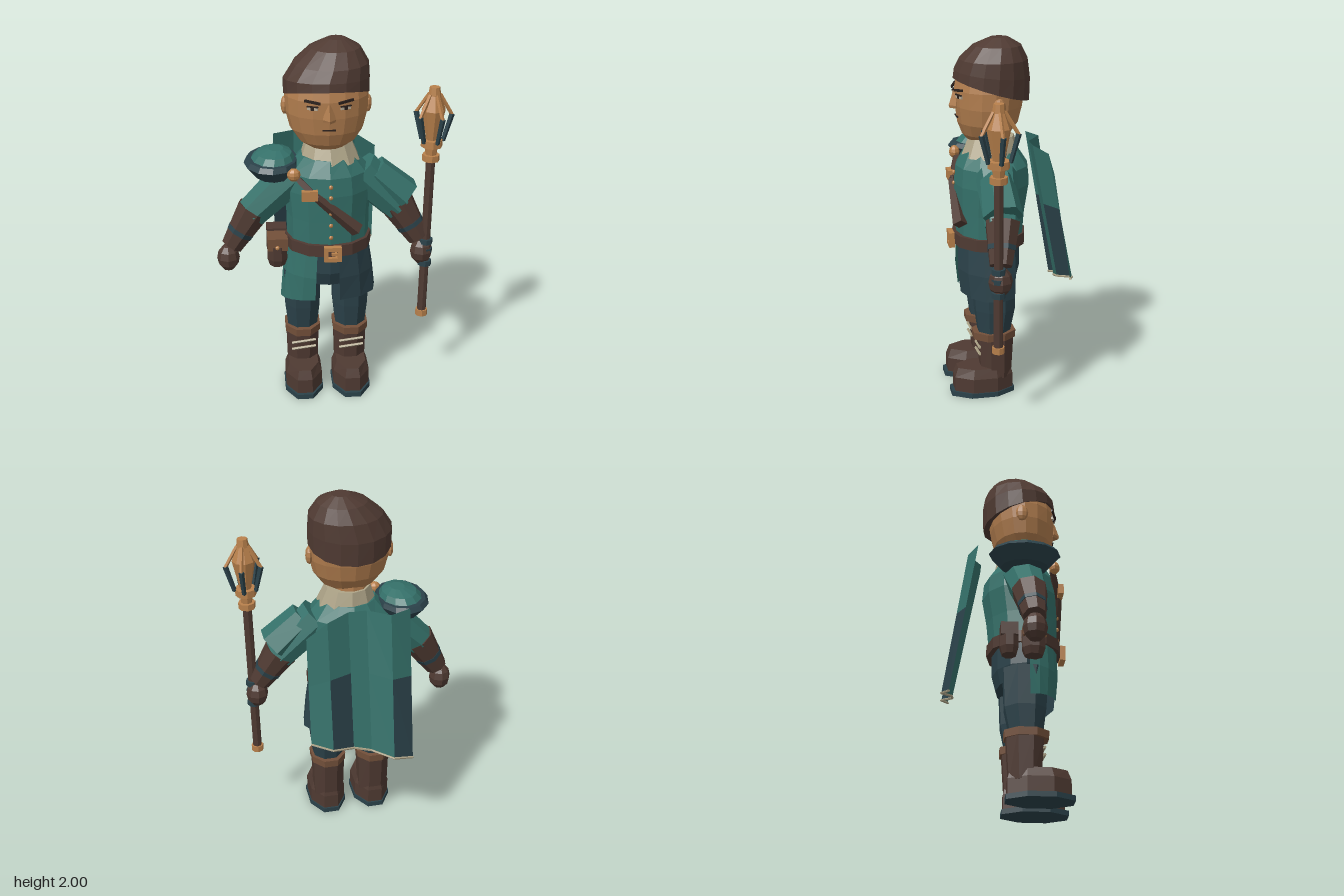
import * as THREE from 'three';

const mat = (name, color, side = THREE.FrontSide) => {
  const m = new THREE.MeshStandardMaterial({ color, flatShading: true, side });
  m.name = name;
  return m;
};
const V = (p) => new THREE.Vector3(...p);

export function createModel() {
  const root = new THREE.Group();
  root.name = 'figure';
  const teal = mat('tealCloth', 0x35716a, THREE.DoubleSide);
  const navy = mat('slateCloth', 0x2b424a, THREE.DoubleSide);
  const brown = mat('darkLeather', 0x4f3a32);
  const tan = mat('trimLeather', 0x73503a);
  const skin = mat('skin', 0xb17d4e);
  const copper = mat('copper', 0xb9814c);
  const beige = mat('linen', 0xaea488);
  const dark = mat('darkBrow', 0x2a201c);
  const white = mat('eyeWhite', 0xb9ab95);

  const add = (name, geo, m, pos = [0, 0, 0], parent = root) => {
    const mesh = new THREE.Mesh(geo, m);
    mesh.name = name;
    mesh.position.set(...pos);
    parent.add(mesh);
    return mesh;
  };
  const box = (name, size, m, pos, parent) => add(name, new THREE.BoxGeometry(...size), m, pos, parent);

  // Capped stack of elliptical rings, bottom to top: [x, y, z, rx, rz, tilt]
  const loft = (name, rings, n, m, rot = 0, parent = root) => {
    const pos = [], idx = [];
    for (const [x, y, z, rx, rz, tilt = 0] of rings) {
      for (let j = 0; j < n; j++) {
        const t = (j / n) * Math.PI * 2 + rot;
        pos.push(x + rx * Math.sin(t), y + tilt * Math.cos(t), z + rz * Math.cos(t));
      }
    }
    for (let i = 0; i < rings.length - 1; i++) {
      for (let j = 0; j < n; j++) {
        const a = i * n + j, b = i * n + (j + 1) % n;
        idx.push(a, b, b + n, a, b + n, a + n);
      }
    }
    const last = (rings.length - 1) * n;
    for (let j = 1; j < n - 1; j++) idx.push(0, j + 1, j, last, last + j, last + j + 1);
    const g = new THREE.BufferGeometry();
    g.setAttribute('position', new THREE.Float32BufferAttribute(pos, 3));
    g.setIndex(idx);
    g.computeVertexNormals();
    return add(name, g, m, [0, 0, 0], parent);
  };

  // Open sheet from rows of points; pick(row, column) chooses a material index
  const sheet = (name, rows, mats, pick = () => 0) => {
    const g = new THREE.BufferGeometry(), idx = [], w = rows[0].length;
    g.setAttribute('position', new THREE.Float32BufferAttribute(rows.flat(2), 3));
    for (let i = 0; i < rows.length - 1; i++) {
      for (let j = 0; j < w - 1; j++) {
        const a = i * w + j;
        g.addGroup(idx.length, 6, pick(i, j));
        idx.push(a, a + w, a + 1, a + 1, a + w, a + w + 1);
      }
    }
    g.setIndex(idx);
    g.computeVertexNormals();
    return add(name, g, mats);
  };

  // Tapered prism between two points
  const rod = (name, a, b, ra, rb, n, m, parent = root) => {
    const p = V(a), q = V(b), d = q.clone().sub(p);
    const mesh = add(name, new THREE.CylinderGeometry(rb, ra, d.length(), n), m, p.clone().add(q).multiplyScalar(0.5).toArray(), parent);
    mesh.quaternion.setFromUnitVectors(new THREE.Vector3(0, 1, 0), d.normalize());
    return mesh;
  };
  const ball = (name, pos, size, m, parent) => {
    const mesh = add(name, new THREE.SphereGeometry(1, 8, 6), m, pos, parent);
    mesh.scale.set(...size);
    return mesh;
  };

  const cx = -0.035;

  // Head and cap
  loft('neck', [[cx, 1.36, 0.07, 0.1, 0.1], [cx, 1.5, 0.08, 0.1, 0.1]], 10, skin);
  loft('head', [[cx, 1.445, 0.12, 0.1, 0.1], [cx, 1.475, 0.115, 0.15, 0.13], [cx, 1.54, 0.105, 0.195, 0.165],
    [cx, 1.63, 0.1, 0.218, 0.182], [cx, 1.72, 0.095, 0.222, 0.19], [cx, 1.79, 0.09, 0.21, 0.18]], 16, skin);
  loft('cap', [[-0.035, 1.715, 0.085, 0.226, 0.207, 0.062], [-0.035, 1.8, 0.08, 0.228, 0.206, 0.02],
    [-0.012, 1.88, 0.075, 0.2, 0.185], [0.01, 1.955, 0.06, 0.135, 0.13], [0.02, 1.997, 0.05, 0.05, 0.05]], 16, brown);
  loft('nose', [[cx, 1.615, 0.275, 0.032, 0.035], [cx, 1.63, 0.28, 0.034, 0.035], [cx, 1.71, 0.275, 0.014, 0.015]], 4, skin);
  for (const s of [-1, 1]) {
    ball('ear', [cx + s * 0.22, 1.65, 0.08], [0.02, 0.05, 0.035], skin);
    const eye = new THREE.Group();
    eye.name = 'eye';
    eye.position.set(cx + s * 0.085, 1.69, 0.272);
    eye.rotation.y = s * 0.36;
    root.add(eye);
    box('eyeWhite', [0.055, 0.016, 0.009], white, [0, 0, 0], eye);
    box('pupil', [0.018, 0.018, 0.009], dark, [0, 0, 0.002], eye);
    box('eyelid', [0.062, 0.006, 0.009], dark, [0, 0.01, 0.003], eye);
    box('eyebrow', [0.085, 0.013, 0.009], dark, [0, 0.035, 0.004], eye).rotation.z = s * 0.12;
  }
  box('mouth', [0.07, 0.007, 0.009], dark, [cx, 1.57, 0.273]);
  loft('collar', [[cx + 0.015, 1.355, 0.095, 0.165, 0.158], [cx + 0.01, 1.46, 0.085, 0.125, 0.125]], 10, beige);

  // Tunic, belt and skirt panels
  loft('tunic', [[-0.03, 0.88, 0.1, 0.222, 0.185], [-0.03, 1.05, 0.095, 0.225, 0.195], [-0.03, 1.2, 0.085, 0.238, 0.21],
    [-0.03, 1.3, 0.085, 0.225, 0.2], [-0.03, 1.385, 0.09, 0.15, 0.15]], 12, teal);
  loft('belt', [[-0.03, 0.86, 0.105, 0.235, 0.205], [-0.03, 0.925, 0.105, 0.235, 0.205]], 12, brown);
  loft('hips', [[-0.03, 0.66, 0.095, 0.2, 0.145], [-0.03, 0.74, 0.1, 0.22, 0.17], [-0.03, 0.88, 0.1, 0.22, 0.17]], 12, navy);
  const panel = (name, t0, t1, y0, y1, m) => {
    const row = (y0r, y1r, rx, rz) => Array.from({ length: 5 }, (_, i) => {
      const k = i / 4, t = t0 + (t1 - t0) * k;
      return [-0.03 + rx * Math.sin(t), y0r + (y1r - y0r) * k, 0.1 + rz * Math.cos(t)];
    });
    sheet(name, [row(0.88, 0.88, 0.225, 0.185), row(0.72, 0.72, 0.25, 0.19), row(y0, y1, 0.265, 0.175)], [m]);
  };
  panel('leftSkirtPanel', 0.2, 2.2, 0.58, 0.58, navy);
  panel('rightSkirtPanel', -0.31, -1.5, 0.58, 0.545, teal);
  const buckle = new THREE.Shape([[-0.047, -0.042], [0.047, -0.042], [0.047, 0.042], [-0.047, 0.042]].map((p) => new THREE.Vector2(...p)));
  buckle.holes.push(new THREE.Path([[-0.025, -0.02], [-0.025, 0.02], [0.025, 0.02], [0.025, -0.02]].map((p) => new THREE.Vector2(...p))));
  add('beltBuckle', new THREE.ExtrudeGeometry(buckle, { depth: 0.03, bevelEnabled: false }), copper, [-0.02, 0.885, 0.302]);
  box('bucklePin', [0.03, 0.012, 0.02], copper, [-0.012, 0.885, 0.318]);
  for (const y of [1.26, 1.2, 1.11, 1.04, 0.97]) ball('button', [-0.028, y, 0.294], [0.012, 0.012, 0.01], copper);

  // Pouches on the right hip
  for (const [z, w] of [[0.13, 0.1], [0.0, 0.08]]) {
    loft('pouch', [[-0.31, 0.75, z, 0.045, w * 0.5], [-0.31, 0.79, z, 0.058, w * 0.65], [-0.31, 0.87, z, 0.058, w * 0.65]], 8, brown, Math.PI / 8);
    box('pouchFlap', [0.11, 0.07, w * 1.15], z > 0.1 ? tan : brown, [-0.308, 0.885, z]);
  }
  ball('pouchStud', [-0.31, 0.87, 0.19], [0.012, 0.012, 0.01], copper);

  // Chest strap
  rod('chestStrap', [-0.21, 1.31, 0.25], [-0.1, 1.2, 0.292], 0.02, 0.024, 4, brown);
  rod('strapSheath', [-0.11, 1.21, 0.292], [0.115, 1.005, 0.285], 0.022, 0.04, 4, brown);
  box('strapBuckle', [0.085, 0.055, 0.03], copper, [-0.14, 1.22, 0.3]);
  ball('strapClasp', [-0.22, 1.325, 0.26], [0.036, 0.036, 0.03], copper);

  // Legs and boots
  for (const x of [-0.175, 0.092]) {
    const e = Math.PI / 8;
    loft('trouserLeg', [[x, 0.34, 0.1, 0.085, 0.09], [x, 0.5, 0.095, 0.104, 0.118], [x, 0.72, 0.1, 0.108, 0.13]], 8, navy, e);
    loft('bootShaft', [[x, 0.1, 0.09, 0.09, 0.09], [x, 0.36, 0.092, 0.098, 0.108]], 8, brown, e);
    loft('bootCuff', [[x, 0.33, 0.1, 0.103, 0.125], [x, 0.372, 0.1, 0.105, 0.127]], 8, tan, e);
    loft('bootFoot', [[x, 0.025, 0.163, 0.108, 0.177], [x, 0.11, 0.163, 0.108, 0.177], [x, 0.162, 0.16, 0.088, 0.16]], 8, brown, e);
    loft('bootSole', [[x, 0, 0.168, 0.114, 0.192], [x, 0.028, 0.168, 0.114, 0.192]], 8, navy, e);
    for (const y of [0.24, 0.28]) rod('bootLace', [x - 0.065, y - 0.005, 0.19], [x + 0.07, y + 0.012, 0.19], 0.008, 0.008, 5, beige);
  }

  // Arms: shoulder, elbow, wrist, hand
  for (const [side, sh, el, wr, hand] of [
    ['right', [-0.2, 1.28, 0.09], [-0.44, 1.05, 0.1], [-0.555, 0.86, 0.11], [-0.577, 0.79, 0.11]],
    ['left', [0.14, 1.28, 0.09], [0.36, 1.06, 0.1], [0.47, 0.88, 0.13], [0.485, 0.8, 0.135]]]) {
    const at = (k) => V(el).lerp(V(wr), k).toArray();
    rod(side + 'UpperArm', sh, el, 0.115, 0.092, 8, teal);
    rod(side + 'Gauntlet', at(-0.1), wr, 0.097, 0.062, 8, brown);
    rod(side + 'GauntletStrap', at(0.5), at(0.62), 0.08, 0.077, 8, navy);
    ball(side + 'Hand', hand, [0.062, 0.078, 0.065], brown);
  }
  rod('leftSleeveCap', [0.215, 1.275, 0.1], [0.385, 1.12, 0.1], 0.09, 0.108, 6, teal);

  // Right shoulder guard
  loft('shoulderGuardRim', [[-0.32, 1.265, 0.085, 0.1, 0.13], [-0.33, 1.335, 0.085, 0.148, 0.195], [-0.325, 1.36, 0.085, 0.135, 0.175]], 12, navy);
  loft('shoulderGuardTop', [[-0.325, 1.345, 0.085, 0.128, 0.162], [-0.315, 1.39, 0.085, 0.095, 0.12], [-0.305, 1.412, 0.085, 0.04, 0.05]], 12, teal);

  // Pleated cape: x, hem z, top z, top y
  const pleats = [[-0.31, -0.31, -0.165, 1.4], [-0.195, -0.345, -0.215, 1.4], [-0.08, -0.285, -0.135, 1.4],
    [0.02, -0.28, -0.135, 1.4], [0.145, -0.335, -0.195, 1.38], [0.26, -0.295, -0.2, 1.3]];
  const capeRow = (k) => pleats.map(([x, zh, zt, yt]) =>
    [x, yt + (0.54 + 0.28 * (x + 0.31) - yt) * k, zt + (zh - zt) * k]);
  sheet('cape', [capeRow(0), capeRow(0.44), capeRow(1)], [teal, navy], (i, j) => (i === 1 && (j === 0 || j === 3) ? 1 : 0));
  const hem = capeRow(1);
  for (let i = 0; i < 5; i++) rod('capeHem', hem[i], hem[i + 1], 0.007, 0.007, 5, beige);

  // Mace
  const mace = new THREE.Group();
  mace.name = 'mace';
  mace.position.set(0.495, 0.405, 0.15);
  mace.rotation.z = -0.024;
  root.add(mace);
  const ring = (name, y0, y1, r0, r1, m) => rod(name, [0, y0, 0], [0, y1, 0], r0, r1, 8, m, mace);
  ring('maceShaft', 0.02, 1.03, 0.025, 0.025, brown);
  ring('macePommel', 0, 0.035, 0.034, 0.034, copper);
  ring('gripWrapLower', 0.315, 0.345, 0.038, 0.038, navy);
  ring('gripWrapMiddle', 0.395, 0.42, 0.038, 0.038, navy);
  ring('gripWrapUpper', 0.445, 0.475, 0.038, 0.038, navy);
  ring('lowerCollar', 0.935, 0.97, 0.047, 0.047, copper);
  ring('maceNeck', 0.97, 1.02, 0.03, 0.036, copper);
  ring('upperCollar', 1.015, 1.055, 0.058, 0.058, copper);
  ring('maceCoreLower', 1.05, 1.22, 0.03, 0.064, copper);
  ring('maceCoreUpper', 1.22, 1.31, 0.064, 0.03, copper);
  ring('maceTip', 1.3, 1.345, 0.034, 0.028, copper);
  for (let i = 0; i < 5; i++) {
    const t = (i / 5) * Math.PI * 2 + 0.35;
    const p = (r, y) => [r * Math.sin(t), y, r * Math.cos(t)];
    rod('maceRibUpper', p(0.1, 1.19), p(0.03, 1.305), 0.01, 0.01, 4, copper, mace);
    rod('maceRibLower', p(0.06, 1.045), p(0.1, 1.195), 0.012, 0.015, 4, navy, mace);
  }
  return root;
}
